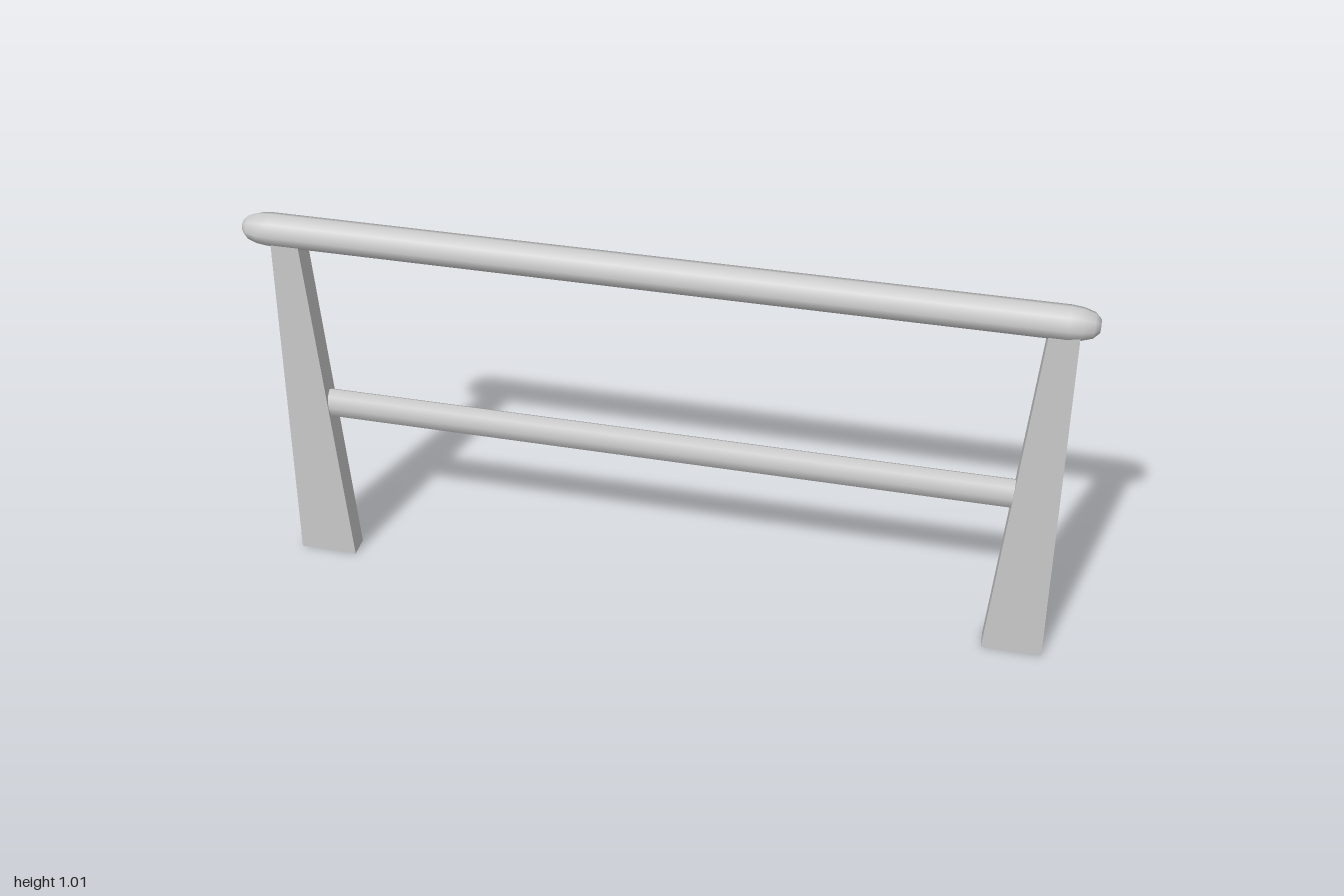
import * as THREE from 'three';

const material = new THREE.MeshStandardMaterial({ color: 0xcccccc });

// Tapered post, wide at the foot, cut from a trapezoid
function makeLeg(name, x) {
  const shape = new THREE.Shape();
  shape.moveTo(-0.075, 0);
  shape.lineTo(0.075, 0);
  shape.lineTo(0.034, 0.95);
  shape.lineTo(-0.034, 0.95);
  shape.closePath();
  const depth = 0.056;
  const geometry = new THREE.ExtrudeGeometry(shape, { depth, bevelEnabled: false });
  const leg = new THREE.Mesh(geometry, material);
  leg.name = name;
  leg.position.set(x, 0, 0.002 - depth / 2);
  return leg;
}

export function createModel() {
  const group = new THREE.Group();
  group.name = 'railing';

  group.add(makeLeg('rightLeg', -0.89), makeLeg('leftLeg', 0.92));

  // Eight-sided handrail with rounded ends, turned around its long axis
  const cap = [[0.0001, 0.997], [0.016, 0.996], [0.03, 0.982], [0.038, 0.957], [0.041, 0.93]];
  const profile = [
    ...cap.map(([r, x]) => new THREE.Vector2(r, -x)),
    ...cap.slice().reverse().map(([r, x]) => new THREE.Vector2(r, x)),
  ];
  const handrail = new THREE.Mesh(new THREE.LatheGeometry(profile, 8), material);
  handrail.name = 'handrail';
  handrail.rotation.z = -Math.PI / 2;
  handrail.position.set(-0.002, 0.972, 0);
  group.add(handrail);

  // Flattened middle bar, ends buried in the legs
  const barGeometry = new THREE.CylinderGeometry(0.041, 0.041, 1.73, 8);
  barGeometry.rotateZ(Math.PI / 2);
  barGeometry.scale(1, 1, 0.64);
  const bar = new THREE.Mesh(barGeometry, material);
  bar.name = 'middleBar';
  bar.position.set(0.015, 0.48, 0.002);
  group.add(bar);

  return group;
}
